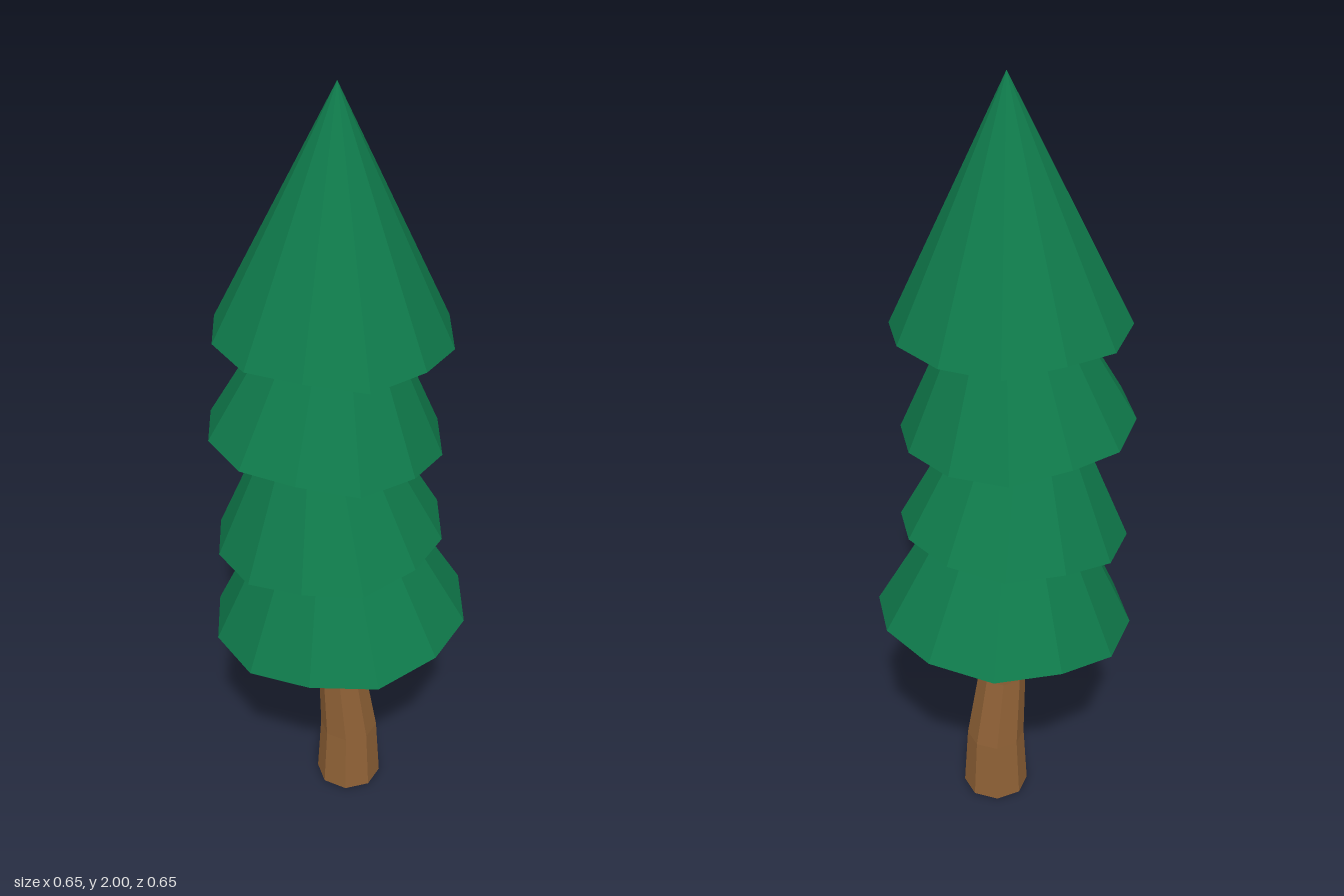
import * as THREE from 'three';

const needles = new THREE.MeshStandardMaterial({ color: 0x0f7a4b });
needles.name = 'pine green';
const bark = new THREE.MeshStandardMaterial({ color: 0x8f6136 });
bark.name = 'bark brown';
needles.flatShading = bark.flatShading = true;

// Small height changes that make each branch rim uneven, one per corner
const RIM = [0, -0.012, 0, -0.012, 0.012, 0, 0, -0.004, -0.007, 0.012, -0.006, 0];

// Geometry from a list of triangles, each an array of three Vector3
function fromTriangles(triangles) {
  const geometry = new THREE.BufferGeometry().setFromPoints(triangles.flat());
  geometry.computeVertexNormals();
  return geometry;
}

// Closed leaning cone with a 12-sided uneven rim
function tier({ name, x, y, r, lean, tip }) {
  const rim = RIM.map((dy, i) => {
    const a = (i / RIM.length) * Math.PI * 2;
    const dx = r * Math.cos(a);
    return new THREE.Vector3(x + dx, y + dx * lean + dy, r * Math.sin(a));
  });
  const apex = new THREE.Vector3(tip[0], tip[1], 0);
  const base = new THREE.Vector3(x, y, 0);
  const triangles = [];
  rim.forEach((p, i) => {
    const q = rim[(i + 1) % rim.length];
    triangles.push([p, apex, q], [p, q, base]);
  });
  const mesh = new THREE.Mesh(fromTriangles(triangles), needles);
  mesh.name = name;
  return mesh;
}

// Bent eight-sided trunk: rings of [centre x, height, radius]
function trunk() {
  const rings = [
    [0.025, 0, 0.086], [0.025, 0.17, 0.076], [0.005, 0.37, 0.062],
    [-0.005, 0.57, 0.059], [-0.008, 0.72, 0.056],
  ].map(([x, y, r]) => Array.from({ length: 8 }, (_, i) => {
    const a = ((i + 0.5) / 8) * Math.PI * 2;
    return new THREE.Vector3(x + r * Math.cos(a), y, r * Math.sin(a));
  }));
  const sides = [];
  const cap = [];
  const foot = new THREE.Vector3(0.025, 0, 0);
  for (let i = 0; i < 8; i++) {
    const j = (i + 1) % 8;
    for (let k = 0; k < rings.length - 1; k++) {
      const [lo, hi] = [rings[k], rings[k + 1]];
      sides.push([lo[i], hi[i], lo[j]], [lo[j], hi[i], hi[j]]);
    }
    cap.push([rings[0][i], rings[0][j], foot]);
  }
  const group = new THREE.Group();
  group.name = 'trunk';
  const wood = new THREE.Mesh(fromTriangles(sides), bark);
  wood.name = 'trunkSides';
  const bottom = new THREE.Mesh(fromTriangles(cap), needles);
  bottom.name = 'trunkBottom';
  group.add(wood, bottom);
  return group;
}

export function createModel() {
  const tree = new THREE.Group();
  tree.name = 'pineTree';
  tree.add(trunk());
  [
    { name: 'bottomTier', x: 0, y: 0.582, r: 0.327, lean: 0.085, tip: [-0.03, 1.2] },
    { name: 'lowerMiddleTier', x: -0.027, y: 0.842, r: 0.286, lean: 0.088, tip: [-0.06, 1.42] },
    { name: 'upperMiddleTier', x: -0.037, y: 1.133, r: 0.288, lean: -0.072, tip: [0, 1.7] },
    { name: 'topTier', x: -0.017, y: 1.405, r: 0.288, lean: -0.02, tip: [-0.006, 2] },
  ].forEach((t) => tree.add(tier(t)));
  return tree;
}
